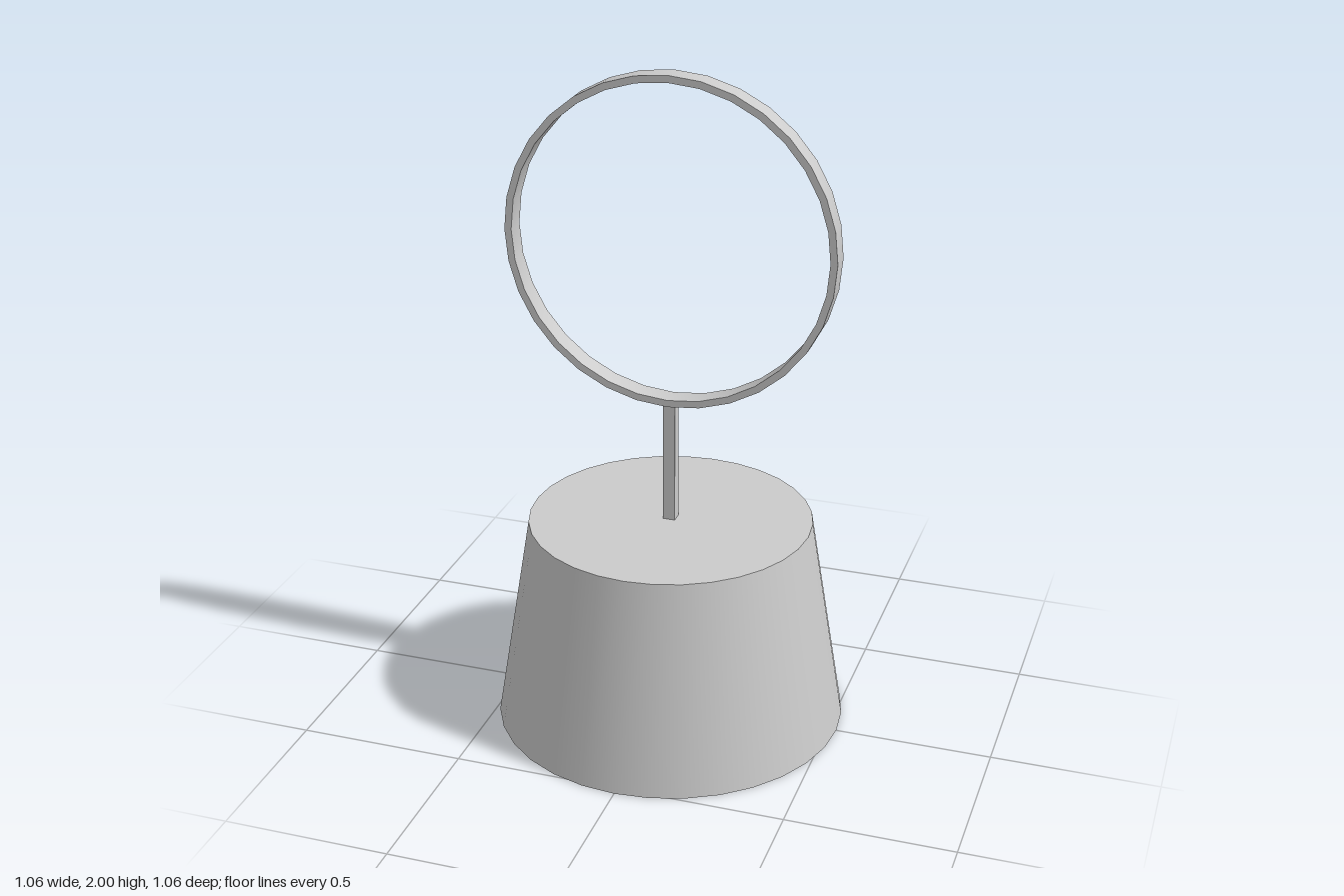
import * as THREE from 'three';
import { toCreasedNormals } from 'three/addons/utils/BufferGeometryUtils.js';

const SIDES = 32;
const BASE = { bottom: 0.528, top: 0.424, height: 0.643 };
const RING = { outer: 0.493, inner: 0.472, halfDepth: 0.032, y: 1.507 };
const POST = { width: 0.036, top: 1.022 };

export function createModel() {
  const model = new THREE.Group();
  const material = new THREE.MeshStandardMaterial({ color: 0xcccccc, side: THREE.DoubleSide });

  const add = (name, geometry, y, parent = model) => {
    const mesh = new THREE.Mesh(geometry, material);
    mesh.name = name;
    mesh.position.y = y;
    parent.add(mesh);
    return mesh;
  };

  // Tapered base: hollow, open underneath, closed on top
  const base = new THREE.Group();
  base.name = 'base';
  model.add(base);
  add('baseWall', new THREE.CylinderGeometry(BASE.top, BASE.bottom, BASE.height, SIDES, 1, true), BASE.height / 2, base);
  add('baseTop', new THREE.CircleGeometry(BASE.top, SIDES).rotateX(-Math.PI / 2), BASE.height, base);

  // Square post between base and ring
  const postHeight = POST.top - BASE.height;
  add('post', new THREE.BoxGeometry(POST.width, postHeight, POST.width), BASE.height + postHeight / 2);

  // Upright flat band with a rectangular section
  const { outer, inner, halfDepth } = RING;
  const section = [
    [inner, -halfDepth], [outer, -halfDepth], [outer, halfDepth], [inner, halfDepth], [inner, -halfDepth],
  ].map(([r, h]) => new THREE.Vector2(r, h));
  const band = new THREE.LatheGeometry(section, SIDES).rotateX(Math.PI / 2);
  add('ring', toCreasedNormals(band, Math.PI / 6), RING.y);

  return model;
}
